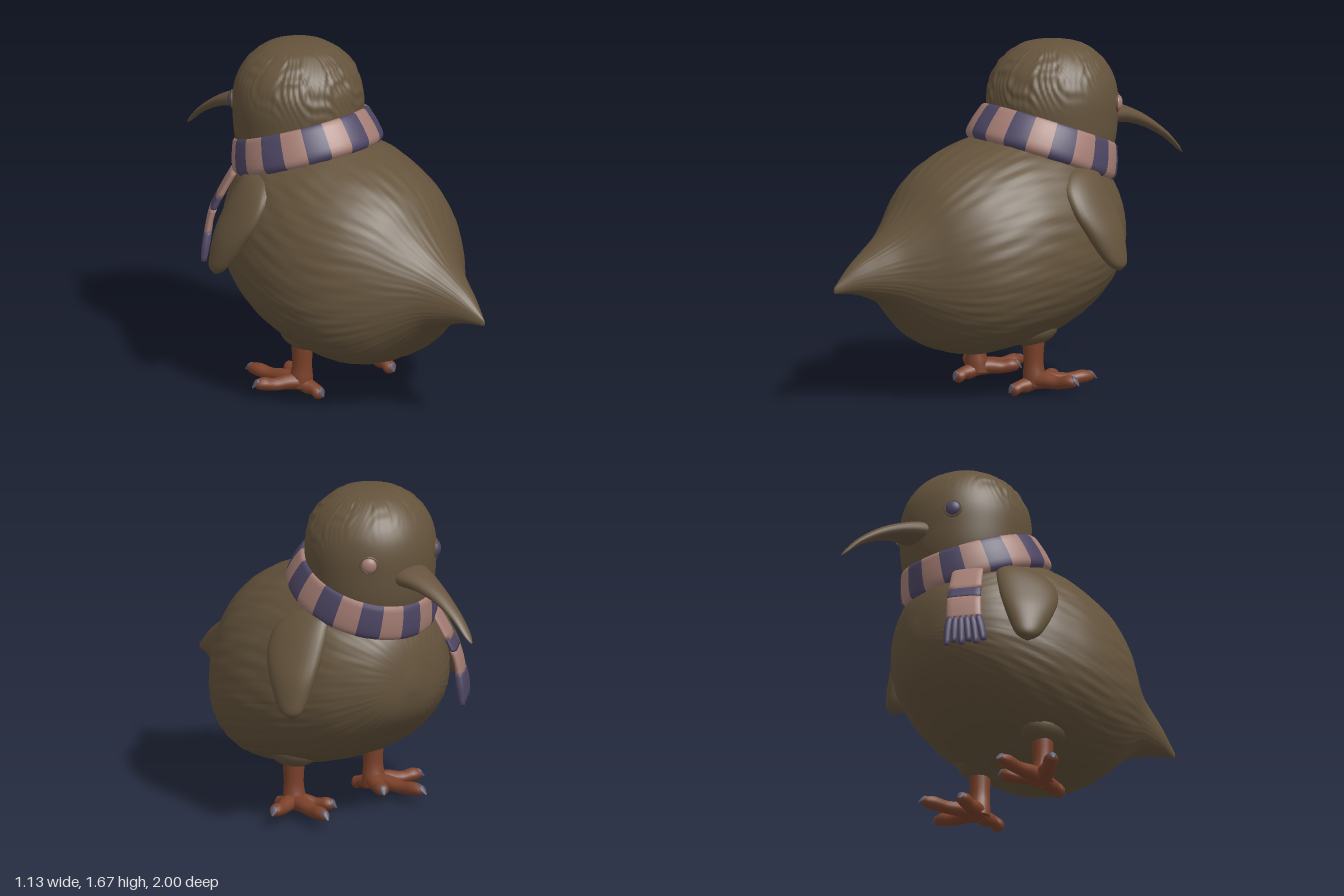
import * as THREE from 'three';

const mat = (name, color) => Object.assign(new THREE.MeshStandardMaterial({ color }), { name });
const V = (x, y, z) => new THREE.Vector3(x, y, z);
const X = V(1, 0, 0), Y = V(0, 1, 0), Z = V(0, 0, 1);
const spline = points => new THREE.CatmullRomCurve3(points, false, 'catmullrom');

// Smooth skin over cross-sections. Row: [centre x, y, z, half width along u, half height +v, half height -v]
// power and lowPower set how square the +v and -v halves are
function loft(rows, u, v, { steps = 24, sides = 20, power = 1, lowPower = power, bump = () => 0 } = {}) {
  const centres = spline(rows.map(r => V(r[0], r[1], r[2])));
  const sizes = spline(rows.map(r => V(r[3], r[4], r[5] ?? r[4])));
  const pos = [], index = [];
  for (let i = 0; i <= steps; i++) {
    const t = i / steps, c = centres.getPoint(t), s = sizes.getPoint(t);
    for (let j = 0; j < sides; j++) {
      const a = (j / sides) * Math.PI * 2, co = Math.cos(a), si = Math.sin(a);
      const k = 1 + bump(a, t);
      const pu = Math.sign(co) * Math.abs(co) ** (si > 0 ? power : lowPower) * s.x * k;
      const pv = si * (si > 0 ? s.y : s.z) * k;
      pos.push(...c.clone().addScaledVector(u, pu).addScaledVector(v, pv).toArray());
    }
  }
  const first = centres.getPoint(0), last = centres.getPoint(1);
  const flip = u.clone().cross(v).dot(last.clone().sub(first)) < 0;
  const tri = (a, b, c) => (flip ? index.push(a, c, b) : index.push(a, b, c));
  for (let i = 0; i < steps; i++) {
    for (let j = 0; j < sides; j++) {
      const n = (j + 1) % sides, a = i * sides, b = a + sides;
      tri(a + j, a + n, b + j);
      tri(a + n, b + n, b + j);
    }
  }
  const base = pos.length / 3, end = steps * sides;
  pos.push(...first.toArray(), ...last.toArray());
  for (let j = 0; j < sides; j++) {
    const n = (j + 1) % sides;
    tri(base, n, j);
    tri(base + 1, end + j, end + n);
  }
  const g = new THREE.BufferGeometry();
  g.setAttribute('position', new THREE.Float32BufferAttribute(pos, 3));
  g.setIndex(index);
  g.computeVertexNormals();
  return g;
}

export function createModel() {
  const model = new THREE.Group();
  const feather = mat('brown feathers', 0x64533c);
  const beakBrown = mat('beak brown', 0x66533e);
  const skin = mat('rust skin', 0x7a412a);
  const purple = mat('purple wool', 0x4e4664);
  const pink = mat('pink wool', 0xa47d74);
  const clawGrey = mat('claw grey', 0x5f5562);
  const add = (name, geometry, material, parent = model) => {
    const m = new THREE.Mesh(geometry, material);
    m.name = name;
    parent.add(m);
    return m;
  };

  // Body: z, top, bottom, half width, from breast to tail tip
  const bodyRows = [
    [-0.578, 0.79, 0.71, 0.03], [-0.55, 0.93, 0.61, 0.17], [-0.5, 1.03, 0.53, 0.27],
    [-0.4, 1.13, 0.43, 0.375], [-0.3, 1.2, 0.355, 0.435], [-0.2, 1.24, 0.3, 0.475],
    [-0.1, 1.25, 0.262, 0.505], [0, 1.245, 0.235, 0.52], [0.1, 1.23, 0.215, 0.526],
    [0.2, 1.2, 0.2, 0.518], [0.3, 1.165, 0.195, 0.495], [0.4, 1.115, 0.215, 0.45],
    [0.5, 1.04, 0.265, 0.375], [0.6, 0.92, 0.355, 0.275], [0.7, 0.82, 0.45, 0.18],
    [0.8, 0.745, 0.5, 0.115], [0.9, 0.67, 0.53, 0.06], [1, 0.57, 0.54, 0.006],
  ].map(([z, top, low, w]) => {
    const mid = low + 0.41 * (top - low);
    return [0, mid, z, w, top - mid, mid - low];
  });
  add('body', loft(bodyRows, X, Y, {
    steps: 100, sides: 180, power: 0.92, lowPower: 0.8,
    bump: (a, t) => 0.006 * Math.sin(44 * a + 3 * Math.sin(9 * t)) * Math.sin(17 * t + 4 * Math.sin(5 * a)),
  }), feather);

  // Head with shaggy crown
  const headRows = [
    [0.95, 0.2], [1.08, 0.27], [1.18, 0.303], [1.3, 0.315], [1.4, 0.315], [1.49, 0.294],
    [1.57, 0.245], [1.63, 0.17], [1.655, 0.1], [1.665, 0.01],
  ].map(([y, r]) => [0, y, -0.255, r, r]);
  add('head', loft(headRows, Z, X, {
    steps: 90, sides: 180,
    bump: (a, t) => {
      const shaggy = 0.028 * THREE.MathUtils.smoothstep(t + 0.14 * Math.cos(a), 0.4, 0.75);
      return shaggy * Math.sin(34 * a + 4 * Math.sin(14 * t)) * Math.sin(34 * t + 5 * Math.sin(7 * a));
    },
  }), feather);

  // Long downcurved beak
  add('beak', loft([
    [0, 1.285, -0.5, 0.11, 0.06], [0, 1.285, -0.58, 0.095, 0.053], [0, 1.265, -0.68, 0.07, 0.04],
    [0, 1.22, -0.79, 0.047, 0.03], [0, 1.15, -0.9, 0.032, 0.02], [0, 1.085, -0.97, 0.021, 0.013],
    [0, 1.055, -1, 0.005, 0.004],
  ], X, Y), beakBrown);

  for (const s of [1, -1]) {
    const side = s > 0 ? 'left' : 'right';

    // Eye with a thin lid ring
    const eye = new THREE.Group();
    eye.name = side + 'Eye';
    eye.position.set(s * 0.212, 1.365, -0.491);
    eye.rotation.y = Math.atan2(s * 0.212, -0.236);
    model.add(eye);
    add('eyeball', new THREE.SphereGeometry(0.038, 20, 14), s > 0 ? pink : purple, eye).scale.z = 0.6;
    add('eyelid', new THREE.TorusGeometry(0.04, 0.006, 8, 24), feather, eye);

    // Small folded wing, leading edge turned inwards
    add(side + 'Wing', loft([
      [0.3, 1.1, -0.21, 0.03, 0.02], [0.335, 1.07, -0.2, 0.1, 0.045], [0.385, 1, -0.19, 0.142, 0.06],
      [0.438, 0.9, -0.205, 0.148, 0.064], [0.48, 0.8, -0.235, 0.125, 0.062],
      [0.508, 0.7, -0.262, 0.088, 0.052], [0.525, 0.64, -0.28, 0.055, 0.036], [0.53, 0.61, -0.285, 0.01, 0.008],
    ].map(([x, ...r]) => [s * x, ...r]), V(s * 0.3, 0, 0.954), V(s * 0.954, 0, -0.3), { steps: 32, sides: 28 }), feather);

    // Leg and four toes with claws, feathered at the top
    const foot = new THREE.Group();
    foot.name = side + 'Foot';
    foot.position.set(s * 0.25, 0, 0.02);
    model.add(foot);
    const thigh = add('thigh', new THREE.SphereGeometry(1, 24, 16), feather, foot);
    thigh.position.set(-s * 0.01, 0.325, 0.02);
    thigh.scale.set(0.11, 0.088, 0.15);
    add('leg', loft([
      [0, 0.04, -0.01, 0.058, 0.06], [0, 0.09, -0.005, 0.055, 0.056],
      [0, 0.16, 0, 0.048, 0.048], [0, 0.28, 0, 0.055, 0.055],
    ], Z, X), skin, foot);
    const toes = [[0.23, 0.075, -0.11], [0.06, 0.07, -0.325], [-0.1, 0.07, -0.2], [-0.01, 0.03, 0.135]];
    toes.forEach(([x, y, z], i) => {
      const tip = V(s * x, y, z);
      const across = V(-tip.z, 0, tip.x).normalize();
      const at = (k, h, r) => [tip.x * k, h, tip.z * k, r, r * 0.9];
      const mid = (0.065 + y) / 2;
      add('toe' + (i + 1), loft([
        at(0, 0.065, 0.048), at(0.3, mid, 0.041), at(0.55, mid - 0.005, 0.034),
        at(0.76, y, 0.036), at(0.9, y, 0.025), at(0.94, y, 0.008),
      ], across, Y, { sides: 14 }), skin, foot);
      add('claw' + (i + 1), loft([
        at(0.82, y + 0.008, 0.021), at(0.92, y + 0.006, 0.02), at(1, y - 0.014, 0.004),
      ], across, Y, { steps: 8, sides: 10 }), clawGrey, foot);
    });
  }

  // Striped scarf ring, tilted down towards the breast
  const scarf = new THREE.Group();
  scarf.name = 'scarf';
  scarf.position.set(0, 1.095, -0.18);
  scarf.rotation.x = -0.358;
  scarf.scale.x = 0.94;
  model.add(scarf);
  const profile = new THREE.SplineCurve([
    [0.29, 0.02], [0.345, -0.01], [0.383, 0.015], [0.378, 0.07], [0.36, 0.13], [0.338, 0.172], [0.285, 0.155],
  ].map(p => new THREE.Vector2(...p))).getPoints(18);
  const stripes = 20, arc = (Math.PI * 2) / stripes;
  for (let i = 0; i < stripes; i++) {
    add('scarfStripe' + i, new THREE.LatheGeometry(profile, 5, (i - 0.5) * arc, arc), i % 2 ? pink : purple, scarf);
  }

  // Hanging scarf end with fringe
  const end = new THREE.Group();
  end.name = 'scarfEnd';
  model.add(end);
  const out = V(-0.66, 0, -0.75), wide = V(-out.z, 0, out.x);
  const drape = spline([V(-0.25, 1.04, -0.43), V(-0.29, 0.93, -0.475), V(-0.33, 0.8, -0.515), V(-0.36, 0.585, -0.53)]);
  const cuts = [0, 0.4, 0.56, 0.8];
  for (let i = 0; i < 3; i++) {
    const rows = [0, 0.5, 1].map(k => {
      const t = cuts[i] + (cuts[i + 1] - cuts[i]) * k, p = drape.getPoint(t);
      return [p.x, p.y, p.z, 0.076 + 0.012 * t, 0.018];
    });
    add('scarfEndStripe' + i, loft(rows, wide, out, { steps: 6, power: 0.4 }), i % 2 ? purple : pink, end);
  }
  for (let i = 0; i < 6; i++) {
    const k = i / 2.5 - 1;
    const rows = [[0.78, 0.068, 0.019], [0.87, 0.08, 0.021], [0.98 + 0.02 * (i % 2), 0.09, 0.015]].map(([t, spread, r]) => {
      const p = drape.getPoint(t).addScaledVector(wide, spread * k);
      return [p.x, p.y, p.z, r, r];
    });
    add('fringe' + i, loft(rows, wide, out, { steps: 8, sides: 10 }), purple, end);
  }
  return model;
}
